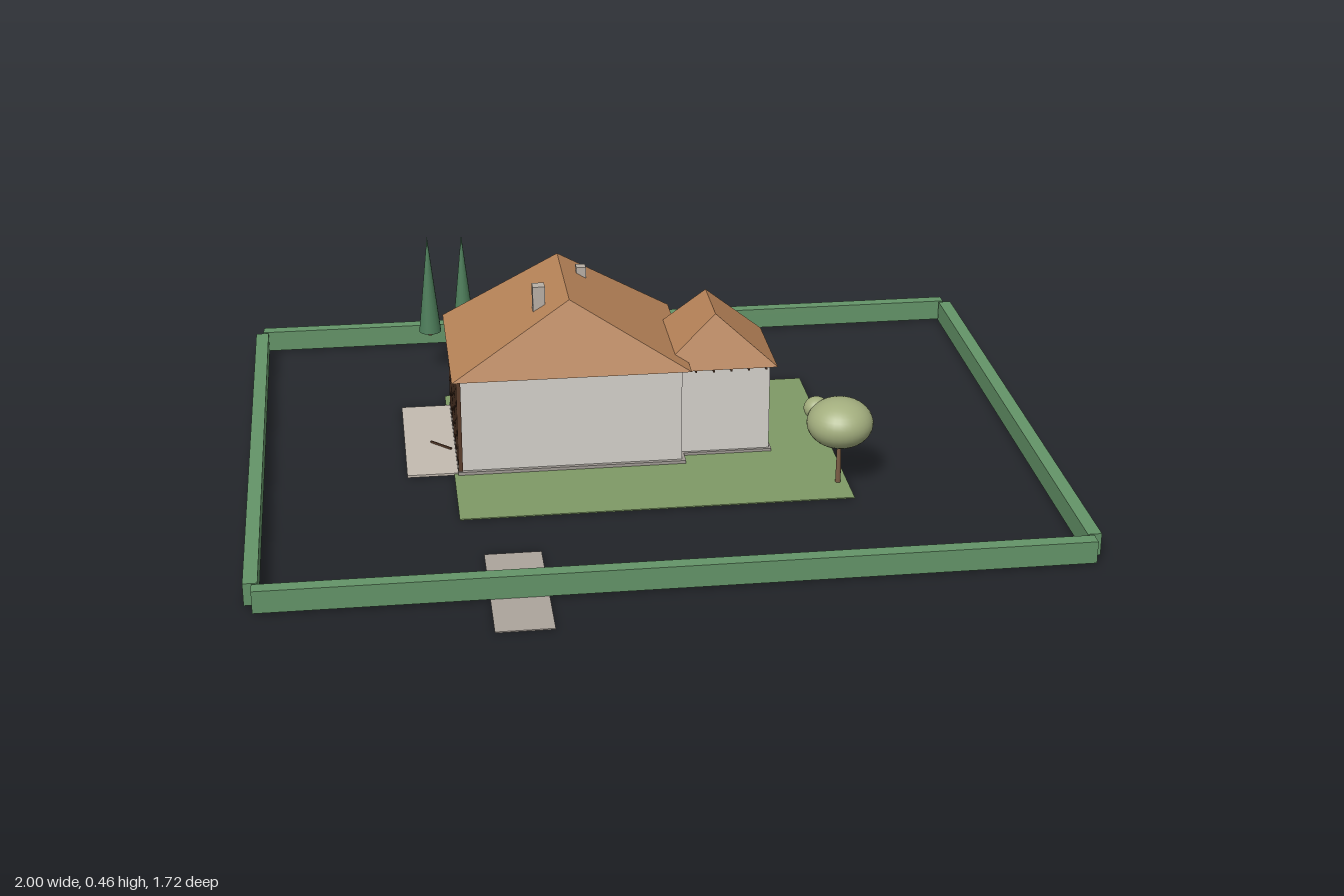
import * as THREE from 'three';
import { ConvexGeometry } from 'three/addons/geometries/ConvexGeometry.js';

const paint = (color, flatShading = false) => new THREE.MeshStandardMaterial({ color, flatShading });
const mats = {
  wall: paint(0xd6d2cc), roof: paint(0xb78358), hedge: paint(0x649468), lawn: paint(0x7f9a66),
  paving: paint(0xc4bbb0), drive: paint(0xaca49c), base: paint(0xa09a94), timber: paint(0x5a3d2b),
  glass: paint(0x7f9db0), chimney: paint(0xb9b0a6), leaf: paint(0xa3ae7e), bark: paint(0x7a5c44),
  cypress: paint(0x4d7d5a),
};

export function createModel() {
  const model = new THREE.Group();
  model.name = 'houseAndGarden';

  const add = (name, geometry, mat, x = 0, y = 0, z = 0, parent = model) => {
    const mesh = new THREE.Mesh(geometry, mats[mat]);
    mesh.name = name;
    mesh.position.set(x, y, z);
    parent.add(mesh);
    return mesh;
  };

  // box given by its limits along each axis
  const box = (name, mat, [x0, x1], [y0, y1], [z0, z1], parent = model) =>
    add(name, new THREE.BoxGeometry(x1 - x0, y1 - y0, z1 - z0), mat,
      (x0 + x1) / 2, (y0 + y1) / 2, (z0 + z1) / 2, parent);

  // hipped roof with its ridge along z
  const hipRoof = (name, [x0, x1], [z0, z1], eave, ridgeY, [r0, r1], parent) => {
    const xm = (x0 + x1) / 2;
    const points = [[x0, z0], [x1, z0], [x1, z1], [x0, z1]].map(([x, z]) => new THREE.Vector3(x, eave, z));
    points.push(new THREE.Vector3(xm, ridgeY, r0), new THREE.Vector3(xm, ridgeY, r1));
    add(name, new ConvexGeometry(points), 'roof', 0, 0, 0, parent);
  };

  // ground surfaces
  box('lawn', 'lawn', [-0.49, 0.487], [0.002, 0.005], [-0.447, 0.3]);
  box('patio', 'paving', [-0.608, -0.47], [0.001, 0.007], [-0.38, 0.044]);
  box('driveway', 'drive', [-0.443, -0.307], [0, 0.003], [0.487, 0.86]);

  // boundary hedge
  const hedge = new THREE.Group();
  hedge.name = 'hedge';
  model.add(hedge);
  box('frontHedge', 'hedge', [-0.98, 0.98], [0.004, 0.06], [0.676, 0.711], hedge);
  box('backHedge', 'hedge', [-0.98, 0.98], [0.004, 0.06], [-0.86, -0.827], hedge);
  for (const s of [-1, 1]) {
    const side = box('sideHedge', 'hedge', [-0.017, 0.017], [0.004, 0.06], [-0.82, 0.671], hedge);
    side.position.x = s * 0.983;
  }

  // main house
  const house = new THREE.Group();
  house.name = 'house';
  model.add(house);
  box('houseBase', 'base', [-0.48, 0.1], [0, 0.013], [-0.385, 0.055], house);
  box('houseWalls', 'wall', [-0.47, 0.09], [0.01, 0.262], [-0.375, 0.045], house);
  hipRoof('houseRoof', [-0.49, 0.112], [-0.397, 0.065], 0.262, 0.447, [-0.33, 0.002], house);
  box('frontChimney', 'chimney', [-0.275, -0.244], [0.36, 0.46], [-0.09, -0.059], house);
  box('backChimney', 'chimney', [-0.147, -0.122], [0.38, 0.436], [-0.272, -0.246], house);

  // side wing
  box('wingBase', 'base', [0.08, 0.328], [0, 0.012], [-0.243, 0.008], house);
  box('wingWalls', 'wall', [0.05, 0.322], [0.01, 0.242], [-0.235, 0], house);
  hipRoof('wingRoof', [0.03, 0.34], [-0.254, 0.012], 0.241, 0.376, [-0.207, -0.035], house);
  for (let i = 0; i < 5; i++) {
    const x = 0.13 + i * 0.045;
    box('rafterTail', 'timber', [x - 0.002, x + 0.002], [0.237, 0.241], [-0.258, 0.016], house);
  }

  // glazed timber frame on the patio side
  const frame = new THREE.Group();
  frame.name = 'glazedFrame';
  house.add(frame);
  const bays = 6, z0 = -0.374, step = 0.418 / bays, rails = [0.018, 0.09, 0.17, 0.25];
  for (let i = 0; i <= bays; i++) {
    const z = z0 + i * step;
    box('post', 'timber', [-0.479, -0.468], [0.013, 0.256], [z - 0.005, z + 0.005], frame);
  }
  for (const y of rails)
    box('rail', 'timber', [-0.478, -0.468], [y - 0.005, y + 0.005], [z0, 0.044], frame);
  for (let i = 0; i < bays; i++) {
    for (let j = 0; j < 3; j++) {
      if (j === 0 && (i === 0 || i === bays - 1)) continue;
      const z = z0 + i * step;
      box('pane', 'glass', [-0.474, -0.469], [rails[j] + 0.012, rails[j + 1] - 0.012],
        [z + 0.011, z + step - 0.011], frame);
    }
  }

  // slim doorstep bar lying on the patio
  const bar = box('doorstepBar', 'timber', [-0.035, 0.035], [0, 0.01], [-0.002, 0.002]);
  bar.position.set(-0.515, 0.007, -0.123);
  bar.rotation.y = -Math.PI / 4;

  // round tree with a small side clump
  const tree = new THREE.Group();
  tree.name = 'roundTree';
  model.add(tree);
  add('treeTrunk', new THREE.CylinderGeometry(0.005, 0.007, 0.13, 12), 'bark', 0.463, 0.068, 0.207, tree);
  const ball = new THREE.SphereGeometry(1, 32, 20);
  add('crown', ball, 'leaf', 0.463, 0.168, 0.207, tree).scale.set(0.083, 0.062, 0.083);
  add('sideClump', ball, 'leaf', 0.413, 0.187, 0.155, tree).scale.set(0.032, 0.029, 0.032);

  // pair of cypresses
  for (const x of [-0.517, -0.424]) {
    const cypress = new THREE.Group();
    cypress.name = 'cypress';
    cypress.position.set(x, 0, -0.634);
    model.add(cypress);
    add('cypressFoliage', new THREE.ConeGeometry(0.03, 0.277, 20), 'cypress', 0, 0.26, 0, cypress);
    add('cypressTrunk', new THREE.CylinderGeometry(0.006, 0.006, 0.014, 10), 'bark', 0, 0.116, 0, cypress);
  }

  return model;
}
